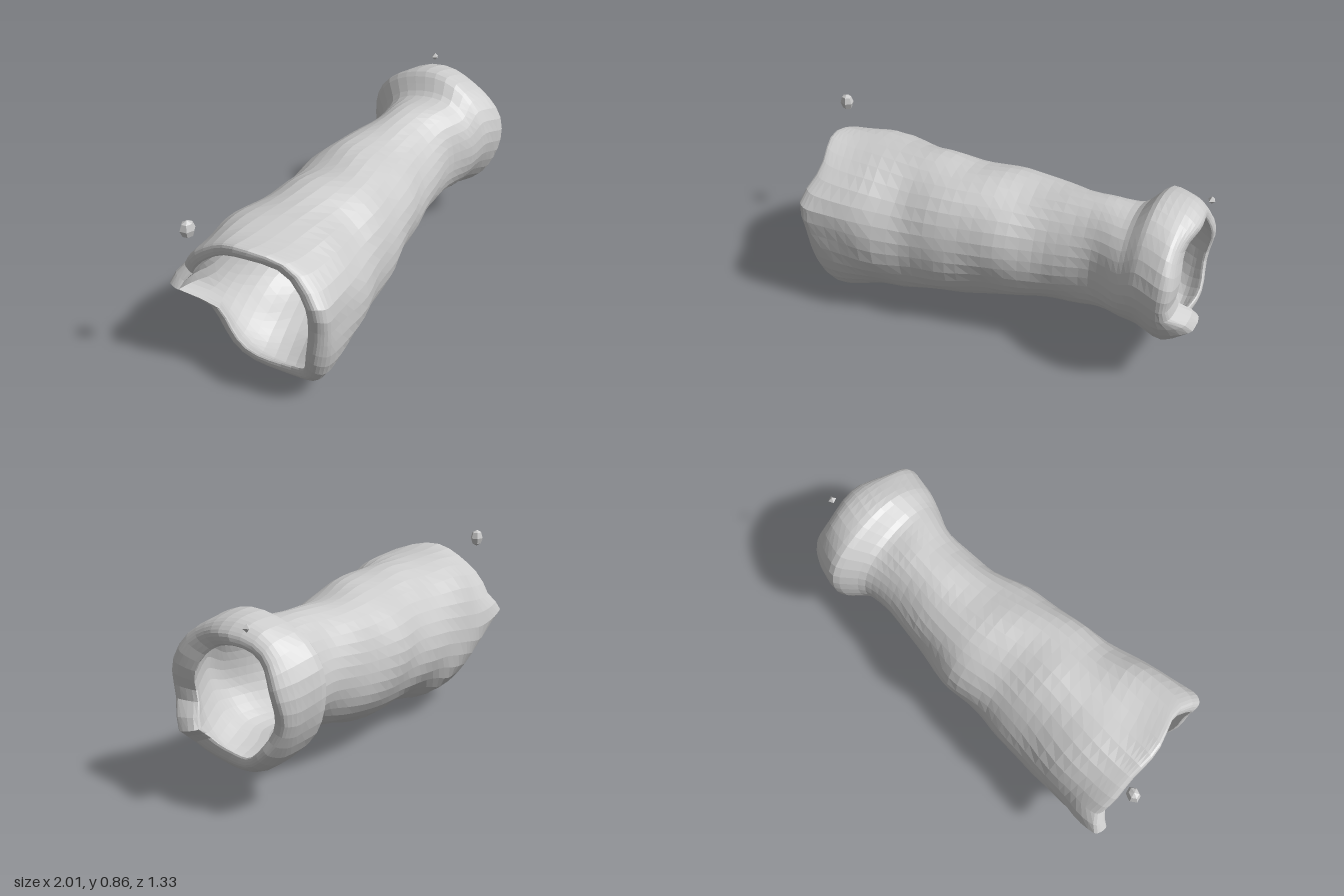
import * as THREE from 'three';

// Stations along the sleeve: back x, z, bottom y, front x, z, top y
const stations = [
  [-0.87, 0.01, 0.05, -0.69, 0.64, 0.765],
  [-0.82, -0.05, 0.01, -0.62, 0.65, 0.775],
  [-0.72, -0.11, 0.025, -0.44, 0.57, 0.775],
  [-0.50, -0.19, 0.07, -0.22, 0.44, 0.77],
  [-0.30, -0.24, 0.11, -0.02, 0.33, 0.77],
  [-0.10, -0.34, 0.14, 0.17, 0.20, 0.765],
  [0.12, -0.39, 0.18, 0.36, 0.07, 0.75],
  [0.35, -0.44, 0.235, 0.56, -0.02, 0.77],
  [0.49, -0.51, 0.24, 0.71, -0.03, 0.78],
  [0.55, -0.645, 0.22, 0.80, -0.04, 0.865],
  [0.68, -0.665, 0.185, 0.92, -0.06, 0.845],
  [0.76, -0.65, 0.225, 0.945, -0.11, 0.80],
];

// A station shrunk about its centre and moved towards the back, for the inside wall
function inset([bx, bz, yb, fx, fz, yt], wide, high, back) {
  const mix = (a, b, s) => [(a + b) / 2 + (a - b) / 2 * s, (a + b) / 2 + (b - a) / 2 * s];
  const [x0, x1] = mix(bx, fx, wide), [z0, z1] = mix(bz, fz, wide), [y0, y1] = mix(yb, yt, high);
  return [x0 - 0.4 * back, z0 - back, y0, x1 - 0.4 * back, z1 - back, y1];
}

const bump = (a, centre, width) => {
  const d = Math.atan2(Math.sin(a - centre), Math.cos(a - centre)) / width;
  return Math.exp(-d * d);
};

// Hollow sleeve: outside wall, flared lip, then back along the inside wall
function sleeveGeometry() {
  const inner = stations.map((s, i) => (i > 9 ? inset(s, 0.72, 0.84, 0.03) : inset(s, 0.84, 0.86, 0))).reverse();
  const loop = [...stations, ...inner];
  const curve = (k) => new THREE.CatmullRomCurve3(
    loop.map((s) => new THREE.Vector3(s[k], s[k + 1], s[k + 2])), true, 'catmullrom', 0.4);
  const backLow = curve(0), frontTop = curve(3);
  const rings = 96, segs = 34, pos = [], index = [];
  const B = new THREE.Vector3(), F = new THREE.Vector3();
  for (let i = 0; i < rings; i++) {
    backLow.getPoint(i / rings, B);
    frontTop.getPoint(i / rings, F);
    const cx = (B.x + F.x) / 2, cz = (B.y + F.y) / 2, cy = (B.z + F.z) / 2;
    const leftEnd = THREE.MathUtils.clamp((-0.35 - cx) / 0.42, 0, 1);
    const leftRim = THREE.MathUtils.clamp((-0.68 - cx) / 0.09, 0, 1);
    const rightRim = THREE.MathUtils.clamp((cx - 0.79) / 0.06, 0, 1);
    for (let j = 0; j < segs; j++) {
      const a = j / segs * Math.PI * 2, c = Math.cos(a), s = Math.sin(a);
      // Uneven cloth folds
      const r = 1 + 0.016 * Math.sin(3 * a + 9 * cx) + 0.013 * Math.sin(5 * a - 17 * cx)
        + 0.01 * Math.sin(23 * cx + 2 * s);
      // Slanted wide end with a notch, and a pointed tatter on each rim
      const slant = leftEnd * (0.11 * bump(a, 0.85, 0.45) - 0.1 * s);
      const leftTip = leftRim * bump(a, 2.95, 0.22), rightTip = rightRim * bump(a, -0.5, 0.25);
      const wave = leftRim * 0.02 * Math.sin(4 * a + 1) + rightRim * 0.012 * Math.sin(5 * a);
      const corner = leftEnd * bump(a, 0.4, 0.3);
      pos.push(cx + (F.x - B.x) / 2 * c * r + slant + wave - 0.12 * leftTip + 0.08 * rightTip,
        Math.max(0, cy + (F.z - B.z) / 2 * s * r + 0.06 * c * leftEnd + 0.05 * leftTip),
        cz + (F.y - B.y) / 2 * c * r - 0.05 * s * leftEnd + 0.045 * corner - 0.09 * rightTip);
      const i2 = (i + 1) % rings, j2 = (j + 1) % segs;
      const p = i * segs + j, q = i2 * segs + j, t = i * segs + j2, u = i2 * segs + j2;
      index.push(p, q, t, q, u, t);
    }
  }
  const g = new THREE.BufferGeometry();
  g.setAttribute('position', new THREE.Float32BufferAttribute(pos, 3));
  g.setIndex(index);
  g.computeVertexNormals();
  return g;
}

export function createModel() {
  const group = new THREE.Group();
  const material = new THREE.MeshStandardMaterial({ color: 0xcccccc, flatShading: true });
  const add = (name, geometry) => {
    const mesh = new THREE.Mesh(geometry, material);
    mesh.name = name;
    group.add(mesh);
    return mesh;
  };

  add('sleeve', sleeveGeometry());

  // Loose fragments floating near the ends
  const large = add('largeFragment', new THREE.SphereGeometry(0.038, 6, 4));
  large.position.set(-0.965, 0.82, 0.15);
  large.scale.set(0.95, 1.1, 0.8);
  const small = add('smallFragment', new THREE.OctahedronGeometry(0.019));
  small.position.set(0.825, 0.845, -0.5);

  return group;
}
